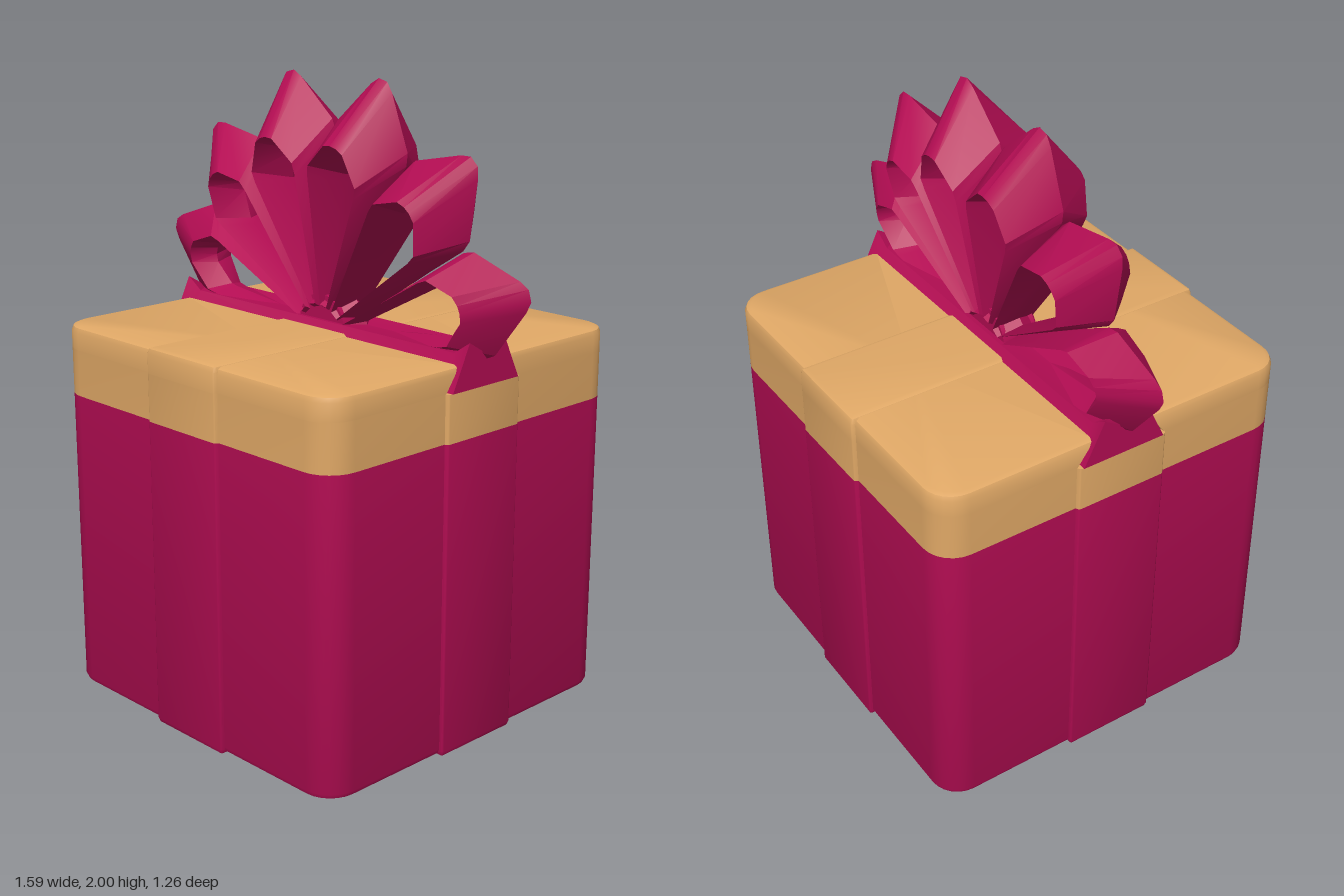
import * as THREE from 'three';
import { toCreasedNormals } from 'three/addons/utils/BufferGeometryUtils.js';

const crimson = new THREE.MeshStandardMaterial({ color: 0xb40d53 });
const gold = new THREE.MeshStandardMaterial({ color: 0xe0a866 });

// Skin a list of equal-length rings; loop = true joins last to first, otherwise the ends are capped.
function loft(rings, loop = false, crease = 0.6) {
  const tris = [];
  const n = rings[0].length;
  const last = loop ? rings.length : rings.length - 1;
  for (let k = 0; k < last; k++) {
    const r0 = rings[k], r1 = rings[(k + 1) % rings.length];
    for (let i = 0; i < n; i++) {
      const j = (i + 1) % n;
      tris.push([r0[i], r1[i], r0[j]], [r0[j], r1[i], r1[j]]);
    }
  }
  if (!loop) {
    const cap = (ring, flip) => {
      const c = ring.reduce((s, p) => s.add(p), new THREE.Vector3()).divideScalar(n);
      ring.forEach((p, i) => {
        const q = ring[(i + 1) % n];
        tris.push(flip ? [c, q, p] : [c, p, q]);
      });
    };
    cap(rings[0], false);
    cap(rings[rings.length - 1], true);
  }
  // Turn the skin outward if its enclosed volume is negative
  const cross = new THREE.Vector3();
  const volume = tris.reduce((s, [a, b, c]) => s + a.dot(cross.crossVectors(b, c)), 0);
  const points = tris.flatMap(([a, b, c]) => (volume < 0 ? [a, c, b] : [a, b, c]));
  const geo = new THREE.BufferGeometry().setFromPoints(points);
  return toCreasedNormals(geo, crease);
}

// Rounded rectangle in the xz plane
function roundedRect(hx, hz, r, y) {
  const ring = [];
  const corners = [[1, 1], [-1, 1], [-1, -1], [1, -1]];
  corners.forEach(([sx, sz], q) => {
    for (let i = 0; i <= 6; i++) {
      const a = (q + i / 6) * Math.PI / 2;
      ring.push(new THREE.Vector3(sx * (hx - r) + r * Math.cos(a), y, sz * (hz - r) + r * Math.sin(a)));
    }
  });
  return ring;
}

// Stack of rounded rectangles, levels are [y, inset]
function block(hx, hz, r, levels) {
  return levels.map(([y, d]) => roundedRect(hx - d, hz - d, Math.max(r - d, 0.002), y));
}

// Keep one half of a stack, leaving a slot that is wide below and narrow above
function cutSlot(rings, side) {
  return rings.map(ring => ring.map(p => {
    const edge = 0.155 - (p.y - 1.15) * 0.72;
    return new THREE.Vector3(p.x, p.y, side * Math.max(p.z, edge));
  }));
}

// One bow loop: a kite-shaped ring, ridged outside and deepest at the rim of its hole
function petalGeometry(angle) {
  const outer = [[0.05, 0.012], [0.61, 0.157], [0.65, 0.152], [0.80, 0.045], [0.825, 0.018]];
  const rim = [[0.10, 0.014], [0.50, 0.098], [0.535, 0.100], [0.62, 0.040], [0.63, 0.012]];
  const hole = [[0.15, 0.012], [0.475, 0.072], [0.50, 0.074], [0.585, 0.035], [0.60, 0.012]];
  const mirrored = list => [...list, ...list.map(([u, v]) => [u, -v]).reverse()];
  const [o, m, h] = [outer, rim, hole].map(mirrored);
  const sin = Math.sin(angle), cos = Math.cos(angle);
  const place = ([u, v], side) => {
    const x = u * sin + v * cos;
    const y = 1.2 + u * cos - v * sin;
    const depth = Math.max(0.05, 0.07 + (y - 1.25) * 0.164);
    return new THREE.Vector3(x, y, side * depth);
  };
  const rings = o.map((p, i) => [place(p, 0), place(m[i], 1), place(h[i], 0), place(m[i], -1)]);
  return loft(rings, true, 0.45);
}

export function createModel() {
  const model = new THREE.Group();
  const add = (name, geometry, material, parent = model) => {
    const mesh = new THREE.Mesh(geometry, material);
    mesh.name = name;
    parent.add(mesh);
  };

  // Box and the two ribbon bands that wrap it, each slightly proud of the box
  const parts = [
    { name: 'box', hx: 0.62, hz: 0.62, r: 0.1, bottom: 0.008, top: 1.225 },
    { name: 'frontBackRibbon', hx: 0.158, hz: 0.632, r: 0.012, bottom: 0, top: 1.232 },
    { name: 'sideRibbon', hx: 0.632, hz: 0.158, r: 0.012, bottom: 0 },
  ];
  for (const { name, hx, hz, r, bottom, top } of parts) {
    const lower = [[bottom, 0.02], [bottom + 0.006, 0.006], [bottom + 0.02, 0], [1, 0]];
    add(name + 'Lower', loft(block(hx, hz, r, lower)), crimson);
    add(name + 'Lid', loft(block(hx, hz, r, [[1, 0], [1.15, 0]])), gold);
    if (!top) continue;
    // Upper lid halves on either side of the bow slot
    const upper = block(hx, hz, r, [[1.15, 0], [top - 0.02, 0], [top - 0.006, 0.006], [top, 0.02]]);
    for (const side of [1, -1]) {
      add(name + (side > 0 ? 'FrontTop' : 'BackTop'), loft(cutSlot(upper, side)), gold);
    }
  }

  // Bow: a sliding foot in the slot, a knot and six loops
  const bow = new THREE.Group();
  bow.name = 'bow';
  model.add(bow);

  const footRing = (x, peak) => [
    [0.143, 1.15], [0.075, peak], [0, 1.245], [-0.075, peak], [-0.143, 1.15],
  ].map(([z, y]) => new THREE.Vector3(x, y, z));
  const foot = [[-0.635, 1.29], [-0.575, 1.25], [0.575, 1.25], [0.635, 1.29]];
  add('bowFoot', loft(foot.map(([x, peak]) => footRing(x, peak))), crimson, bow);

  const knot = new THREE.CylinderGeometry(0.1, 0.1, 0.12, 24).rotateX(Math.PI / 2).translate(0, 1.23, 0);
  add('bowKnot', knot, crimson, bow);

  for (const side of [1, -1]) {
    for (const degrees of [14.3, 43.7, 73]) {
      const name = side > 0 ? 'leftBowLoop' : 'rightBowLoop';
      add(name, petalGeometry(side * THREE.MathUtils.degToRad(degrees)), crimson, bow);
    }
  }
  return model;
}
